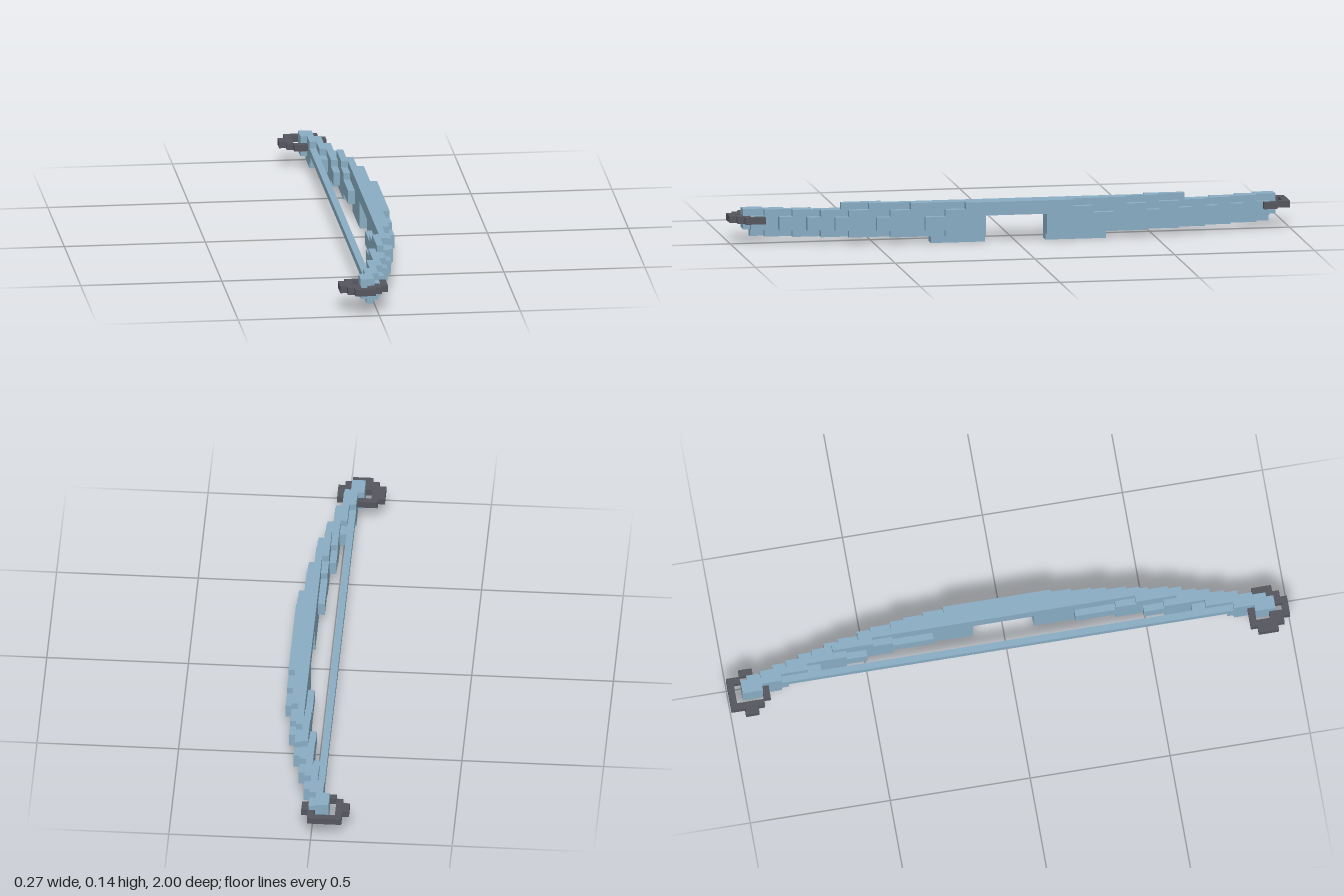
import * as THREE from 'three';

const V = 2 / 83; // edge length of one block

export function createModel() {
  const root = new THREE.Group();
  root.name = 'blockBow';
  const blue = new THREE.MeshStandardMaterial({ color: 0x89adc3 });
  blue.name = 'paleBlue';
  const dark = new THREE.MeshStandardMaterial({ color: 0x56565f });
  dark.name = 'charcoal';

  // Box given by block columns (x), rows (y) and z limits, all in block units
  function block(parent, name, mat, c0, c1, r0, r1, z0, z1) {
    const geo = new THREE.BoxGeometry((c1 - c0) * V, (r1 - r0) * V, Math.abs(z1 - z0) * V);
    const mesh = new THREE.Mesh(geo, mat);
    mesh.position.set(((c0 + c1) / 2 - 5.5) * V, ((r0 + r1) / 2) * V, ((z0 + z1) / 2) * V);
    mesh.name = name;
    parent.add(mesh);
  }

  // Limb layers: column, middle rows [in, out], outer rows [in, out], crest [in, out]
  const layers = [
    [10, [4.5, 13.5], [4.5, 10.5], [0, 7.5]],
    [9, [4.5, 20.5], [4.5, 18.5], [0, 15.5]],
    [8, [4.5, 26.5], [4.5, 24.5], [0, 21.5]],
    [7, [10.5, 30.5], [16.5, 28.5], [19.5, 25.5]],
    [6, [20.5, 34.5], [23.5, 32.5], null],
    [5, [27.5, 38.5], [29.5, 36.5], null],
    [4, [32.5, 39.5], [33.5, 38.5], null],
  ];

  for (const s of [1, -1]) {
    const limb = new THREE.Group();
    limb.name = s > 0 ? 'frontLimb' : 'backLimb';
    root.add(limb);
    for (const [c, mid, edge, crest] of layers) {
      // the back limb reaches one block further on the outermost layers
      const e = s < 0 && c > 8 ? 1 : 0;
      block(limb, 'limbCore', blue, c, c + 1, 2, 4, s * mid[0], s * (mid[1] + e));
      block(limb, 'limbLowerEdge', blue, c, c + 1, 1, 2, s * edge[0], s * (edge[1] + e));
      // the upper edge bridges the grip opening
      const inner = c >= 8 ? 0 : edge[0];
      block(limb, 'limbUpperEdge', blue, c, c + 1, 4, 5, s * inner, s * (edge[1] + e));
      if (crest) block(limb, 'limbCrest', blue, c, c + 1, 5, 6, s * crest[0], s * (crest[1] + e));
    }
    block(limb, 'gripFoot', blue, 8, 10, 0, 1, s * 4.5, s * (s > 0 ? 12.5 : 13.5));
    block(limb, 'limbTip', blue, 3, 5, 2, 5, s * 36.5, s * 39.5);
  }

  // String along the inner side
  block(root, 'bowString', blue, 4, 5, 3, 4, -36.5, 36.5);

  // Dark hooks around the tips: column limits and distance limits
  const hooks = {
    frontHook: [1, [[2, 5, 40.5, 41.5], [1, 2, 39.5, 40.5], [1, 3, 38.5, 40.5], [4, 6, 39.5, 40.5],
      [0, 1, 36.5, 39.5], [1, 2, 36.5, 38.5], [1, 4, 35.5, 36.5], [6, 7, 36.5, 39.5], [5, 6, 38.5, 39.5]]],
    backHook: [-1, [[1, 6, 40.5, 41.5], [1, 2, 39.5, 40.5], [0, 2, 37.5, 39.5], [1, 2, 36.5, 37.5],
      [2, 4, 35.5, 36.5], [5, 6, 39.5, 40.5], [6, 7, 37.5, 39.5]]],
  };
  for (const [name, [s, parts]] of Object.entries(hooks)) {
    const hook = new THREE.Group();
    hook.name = name;
    root.add(hook);
    for (const [c0, c1, a, b] of parts) block(hook, 'hookSegment', dark, c0, c1, 3, 4, s * a, s * b);
  }
  return root;
}
